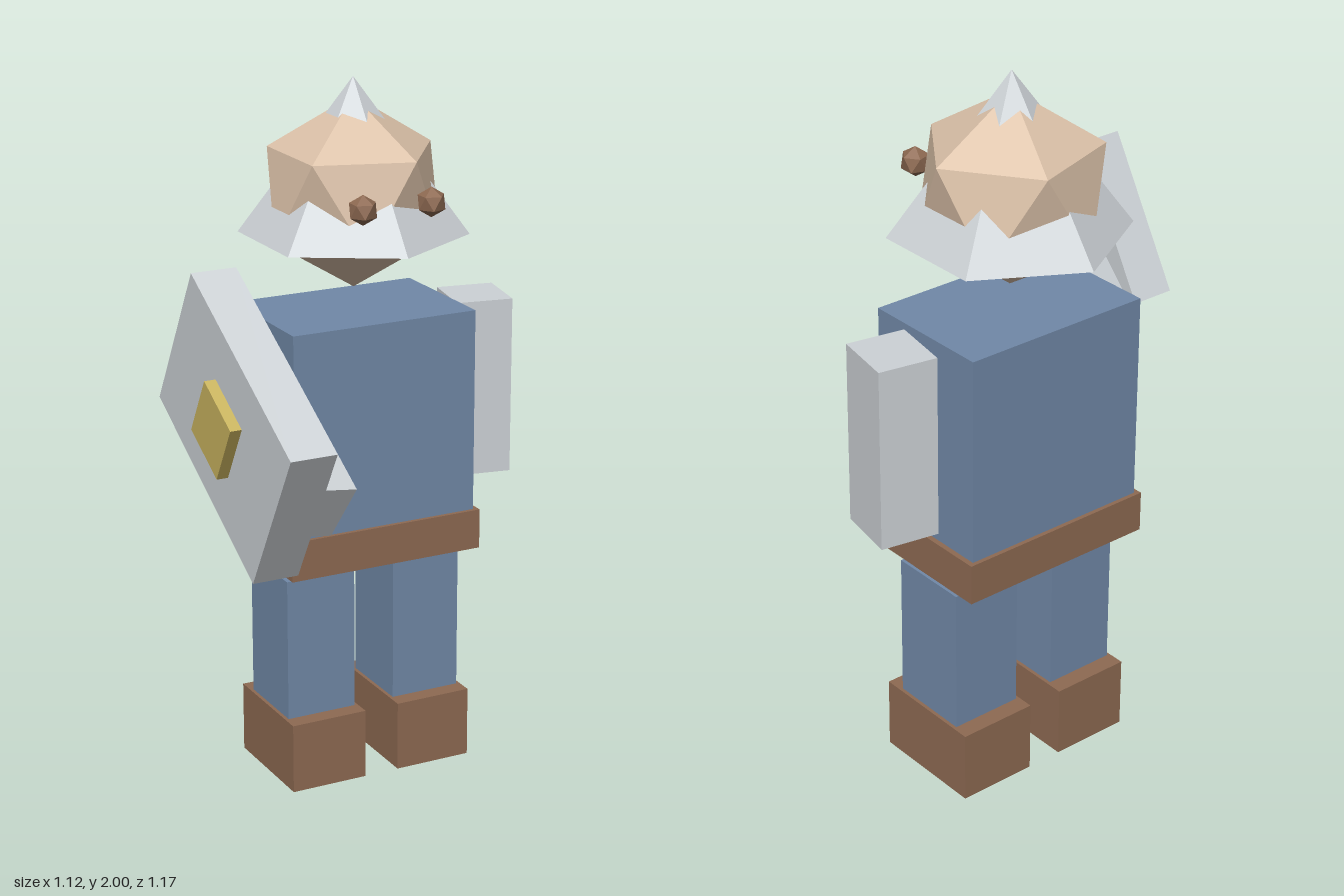
import * as THREE from 'three';

export function createModel() {
  const model = new THREE.Group();
  model.name = 'blockFigure';

  const mat = (name, color) => {
    const m = new THREE.MeshStandardMaterial({ color, flatShading: true });
    m.name = name;
    return m;
  };
  const blue = mat('blueCloth', 0x7189a8);
  const brown = mat('brownLeather', 0x8e6a52);
  const silver = mat('silverSteel', 0xcdd2d6);
  const skin = mat('skin', 0xdcc2a9);
  const gold = mat('gold', 0xc9b45f);

  const CX = 0.075, CZ = -0.262; // body axis

  function add(name, geometry, material, x, y, z) {
    const mesh = new THREE.Mesh(geometry, material);
    mesh.name = name;
    mesh.position.set(x, y, z);
    model.add(mesh);
    return mesh;
  }
  const box = (name, material, w, h, d, x, y, z) =>
    add(name, new THREE.BoxGeometry(w, h, d), material, x, y, z);

  // Icosahedron standing on a vertex, upper ring pointing to +x
  const ico = (r) => new THREE.IcosahedronGeometry(r, 0)
    .rotateX(-Math.atan((1 + Math.sqrt(5)) / 2))
    .rotateY(Math.PI / 2);

  // Torso and belt
  box('torso', blue, 0.56, 0.625, 0.386, CX, 1.0425, CZ);
  box('belt', brown, 0.59, 0.115, 0.41, CX, 0.7125, CZ);

  // Legs, boots and eyes
  for (const [side, s] of [['left', 1], ['right', -1]]) {
    box(side + 'Leg', blue, 0.21, 0.43, 0.235, CX + s * 0.167, 0.407, -0.258);
    box(side + 'Boot', brown, 0.23, 0.205, 0.335, CX + s * 0.167, 0.1025, -0.258);
    add(side + 'Eye', ico(0.042), brown, CX + s * 0.103, 1.695, -0.004);
  }

  // Head pushed through a six-sided pointed helmet
  add('head', ico(0.268), skin, CX, 1.68, CZ);
  add('helmet', new THREE.ConeGeometry(0.32, 0.435, 6), silver, CX, 1.7825, CZ);

  // Arms: the left hangs, the right is raised forward
  const raise = -Math.PI / 3, splay = 0.18;
  const leftArm = box('leftArm', silver, 0.165, 0.513, 0.178, 0.461, 1.0875, CZ);
  leftArm.rotation.y = -splay;
  const rightArm = box('rightArm', silver, 0.165, 0.513, 0.178, -0.309, 1.11, 0.058);
  rightArm.rotation.set(raise, splay, 0);

  // Shield with a square boss, tilted with the raised arm
  const shield = box('shield', silver, 0.128, 0.672, 0.46, -0.465, 1.22, 0.178);
  shield.rotation.x = raise;
  const boss = box('shieldBoss', gold, 0.04, 0.18, 0.18, -0.541, 1.218, 0.178);
  boss.rotation.x = raise;

  return model;
}
